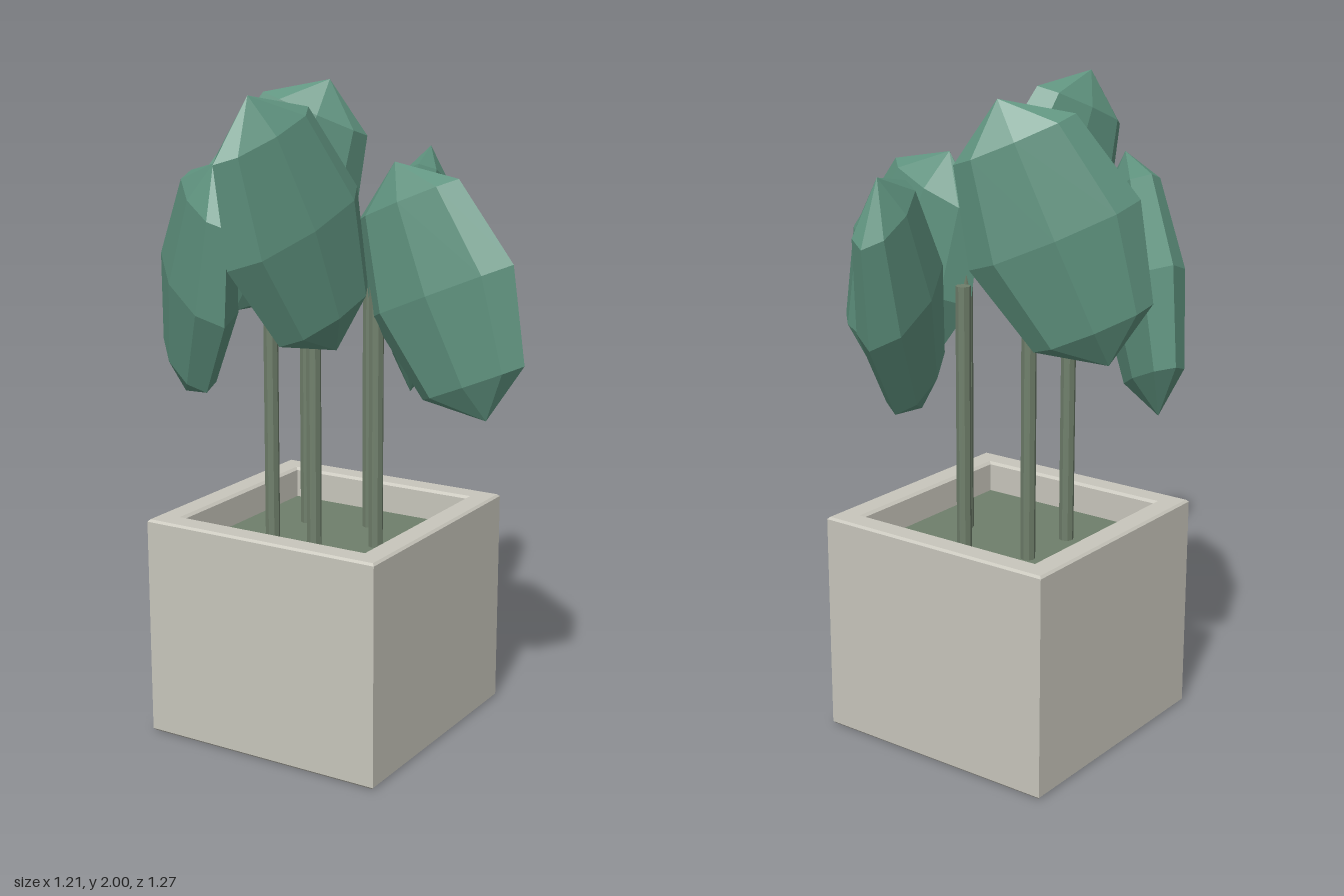
import * as THREE from 'three';

const paint = (color) => new THREE.MeshStandardMaterial({ color, flatShading: true });

export function createModel() {
  const model = new THREE.Group();
  model.name = 'pottedPlant';
  const potMat = paint(0xc8c6bc), soilMat = paint(0x6f7f6b), leafMat = paint(0x5f937f);

  const plant = new THREE.Group();
  plant.name = 'plant';
  plant.position.x = -0.067;
  model.add(plant);

  const add = (name, geometry, material) => {
    const mesh = new THREE.Mesh(geometry, material);
    mesh.name = name;
    plant.add(mesh);
    return mesh;
  };

  // Square pot: half-width and height profile, turned with four sides
  const profile = [
    [0, 0], [0.396, 0], [0.403, 0.007], [0.403, 0.693], [0.396, 0.7],
    [0.332, 0.7], [0.323, 0.692], [0.323, 0.59],
  ].map(([half, y]) => new THREE.Vector2(half * Math.SQRT2, y));
  const pot = add('pot', new THREE.LatheGeometry(profile, 4).toNonIndexed(), potMat);
  pot.rotation.y = Math.PI / 4;

  // Soil sunk below the rim
  const soil = add('soil', new THREE.BoxGeometry(0.65, 0.04, 0.65), soilMat);
  soil.position.y = 0.58;

  // Ring of five stems, each with a tilted faceted leaf at alternating heights
  const stemGeo = new THREE.CylinderGeometry(0.023, 0.023, 0.85, 8);
  const leafGeo = new THREE.SphereGeometry(1, 8, 4).scale(0.255, 0.403, 0.095);
  for (let i = 0; i < 5; i++) {
    const a = (i * 2 * Math.PI) / 5;
    const c = Math.cos(a), s = Math.sin(a);
    add('stem', stemGeo, soilMat).position.set(0.174 * c, 1.005, 0.174 * s);
    const leaf = add('leaf', leafGeo, leafMat);
    leaf.position.set(0.39 * c, i % 2 ? 1.632 : 1.42, 0.39 * s);
    leaf.rotation.set(0, a, 0.4);
  }
  return model;
}
